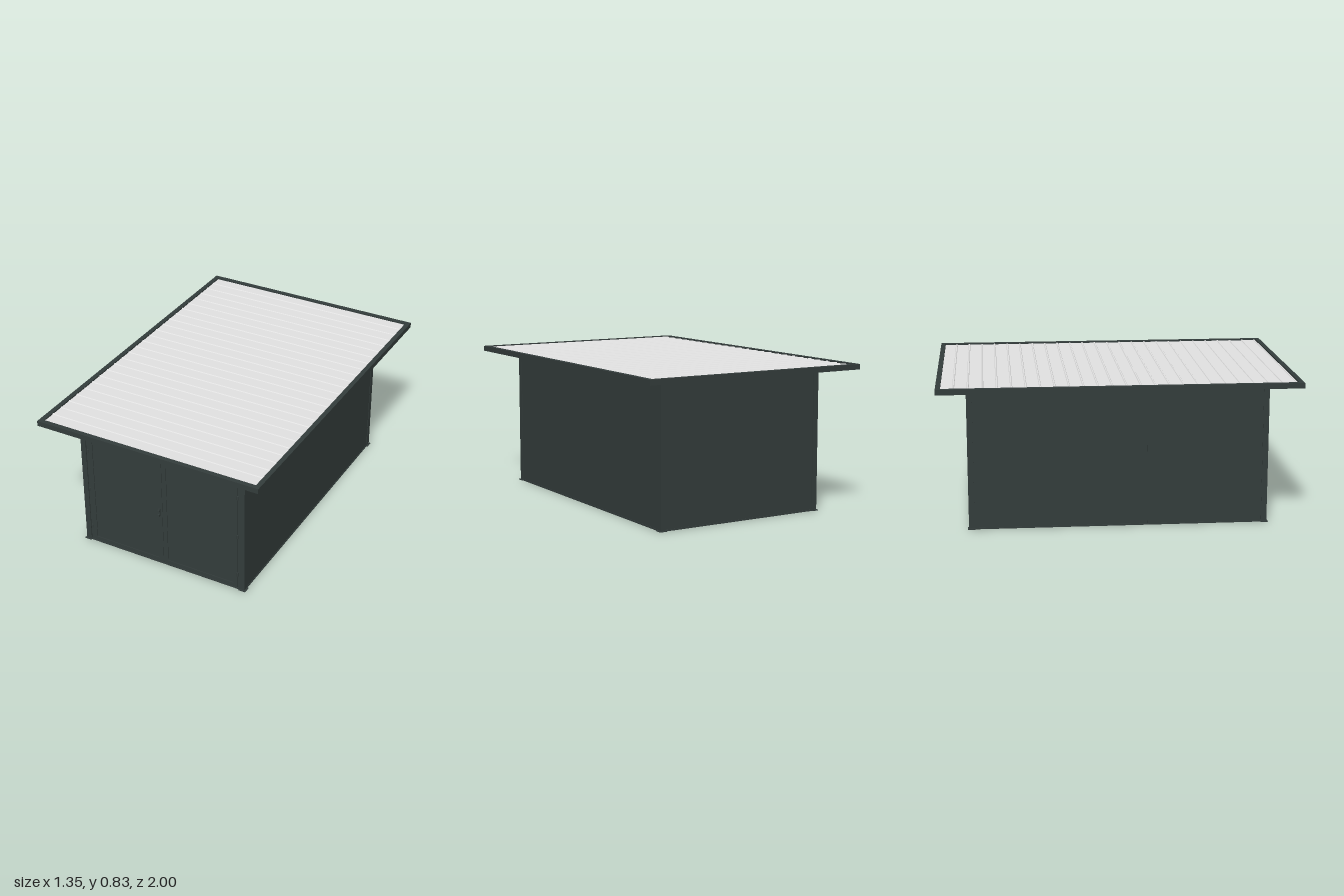
import * as THREE from 'three';

const paint = (name, color) => {
  const m = new THREE.MeshStandardMaterial({ color });
  m.name = name;
  return m;
};

export function createModel() {
  const dark = paint('dark green grey', 0x343d3c);
  const light = paint('light grey', 0xe3e3e3);
  const shed = new THREE.Group();
  shed.name = 'shed';

  // Box given by its lower and upper corner
  const box = (name, mat, [x0, y0, z0], [x1, y1, z1], parent = shed) => {
    const mesh = new THREE.Mesh(new THREE.BoxGeometry(x1 - x0, y1 - y0, z1 - z0), mat);
    mesh.position.set((x0 + x1) / 2, (y0 + y1) / 2, (z0 + z1) / 2);
    mesh.name = name;
    parent.add(mesh);
    return mesh;
  };
  const add = (name, geo, mat, parent = shed) => {
    const mesh = new THREE.Mesh(geo, mat);
    mesh.name = name;
    parent.add(mesh);
    return mesh;
  };
  // Rectangular ring lying in the XY plane, extruded along z
  const ring = (x0, y0, x1, y1, w, depth) => {
    const rect = (C, a, b, c, d) => new C([[a, b], [c, b], [c, d], [a, d]].map((p) => new THREE.Vector2(...p)));
    const shape = rect(THREE.Shape, x0, y0, x1, y1);
    shape.holes.push(rect(THREE.Path, x0 + w, y0 + w, x1 - w, y1 - w));
    return new THREE.ExtrudeGeometry(shape, { depth, bevelEnabled: false });
  };
  const flatRing = (hx, hz, w, y0, h) => ring(-hx, -hz, hx, hz, w, h).rotateX(-Math.PI / 2).translate(0, y0, 0);

  const X = 0.51, Z = 0.835, H = 0.805;

  // Base rail and top plate running round the walls
  add('baseRail', flatRing(0.513, 0.838, 0.02, 0, 0.008), dark);
  add('topPlate', flatRing(X - 0.002, Z - 0.002, 0.025, 0.775, 0.03), dark);

  // Corner posts on small foot plates
  for (const sx of [-1, 1]) for (const sz of [-1, 1]) {
    const post = box('cornerPost', dark, [-0.016, 0, -0.016], [0.016, H, 0.016]);
    post.position.x = sx * 0.497;
    post.position.z = sz * 0.823;
    const foot = box('footPlate', dark, [-0.021, 0, -0.021], [0.021, 0.005, 0.021]);
    foot.position.x = sx * 0.5;
    foot.position.z = sz * 0.825;
  }

  // Dark cladding outside, light lining inside
  box('rightWall', dark, [-X, 0.004, -Z + 0.02], [-X + 0.006, H, -0.18]);
  box('rightWall', dark, [-X, 0.004, 0.16], [-X + 0.006, H, Z - 0.02]);
  box('sideDoor', dark, [-X + 0.002, 0.004, -0.18], [-X + 0.006, H, 0.16]);
  box('leftWall', dark, [X - 0.006, 0.004, -Z + 0.02], [X, H, Z - 0.02]);
  box('backWall', dark, [-X + 0.02, 0.004, -Z], [X - 0.02, H, -Z + 0.006]);
  box('rightLining', light, [-X + 0.006, 0.008, -0.81], [-X + 0.009, 0.775, -0.18]);
  box('rightLining', light, [-X + 0.006, 0.008, 0.16], [-X + 0.009, 0.775, 0.81]);
  box('sideDoorLining', light, [-X + 0.006, 0.008, -0.18], [-X + 0.011, 0.775, 0.16]);
  box('leftLining', light, [X - 0.009, 0.008, -0.81], [X - 0.006, 0.775, 0.81]);
  box('backLining', light, [-0.485, 0.008, -Z + 0.006], [0.485, 0.775, -Z + 0.009]);

  // Header and jambs round the front opening
  box('header', dark, [-0.485, 0.757, 0.81], [0.485, H, 0.835]);
  for (const s of [-1, 1]) {
    const jamb = box('jamb', dark, [-0.007, 0, 0.812], [0.007, 0.76, 0.833]);
    jamb.position.x = s * 0.477;
  }

  // Pair of framed doors with hinges
  for (const s of [-1, 1]) {
    const door = new THREE.Group();
    door.name = s < 0 ? 'rightDoor' : 'leftDoor';
    shed.add(door);
    const [x0, x1] = s < 0 ? [-0.469, -0.001] : [0.001, 0.469];
    add('doorFrame', ring(x0, 0.004, x1, 0.756, 0.027, 0.018).translate(0, 0, 0.817), dark, door);
    box('doorPanel', dark, [x0 + 0.025, 0.03, 0.825], [x1 - 0.025, 0.731, 0.831], door);
    box('doorLining', light, [x0 + 0.025, 0.03, 0.821], [x1 - 0.025, 0.731, 0.825], door);
    for (const y of [0.1, 0.355, 0.61, 0.69]) {
      const hinge = add('hinge', new THREE.CylinderGeometry(0.005, 0.005, 0.022, 10), dark, door);
      hinge.position.set(s * 0.47, y, 0.838);
    }
  }

  // Door handle and lock
  box('handlePlate', dark, [-0.026, 0.315, 0.834], [-0.013, 0.372, 0.838]);
  box('handle', dark, [-0.024, 0.352, 0.838], [-0.015, 0.366, 0.847]);
  box('lock', dark, [-0.024, 0.322, 0.838], [-0.015, 0.336, 0.847]);

  // Roof edge trim
  add('roofTrim', flatRing(0.675, 1, 0.027, 0.805, 0.03), dark);

  // Ribbed roof sheet, with ribs running from side to side
  const ribs = 25, half = 0.974, pitch = (2 * half) / ribs;
  const profile = new THREE.Shape();
  profile.moveTo(-half, 0.81);
  profile.lineTo(half, 0.81);
  profile.lineTo(half, 0.827);
  for (let i = ribs - 1; i >= 0; i--) {
    const z = -half + i * pitch;
    profile.lineTo(z + 0.014, 0.827);
    profile.lineTo(z + 0.011, 0.831);
    profile.lineTo(z + 0.005, 0.831);
    profile.lineTo(z + 0.002, 0.827);
  }
  profile.lineTo(-half, 0.827);
  const sheet = new THREE.ExtrudeGeometry(profile, { depth: 1.298, bevelEnabled: false });
  add('roofSheet', sheet.translate(0, 0, -0.649).rotateY(Math.PI / 2), light);

  return shed;
}
